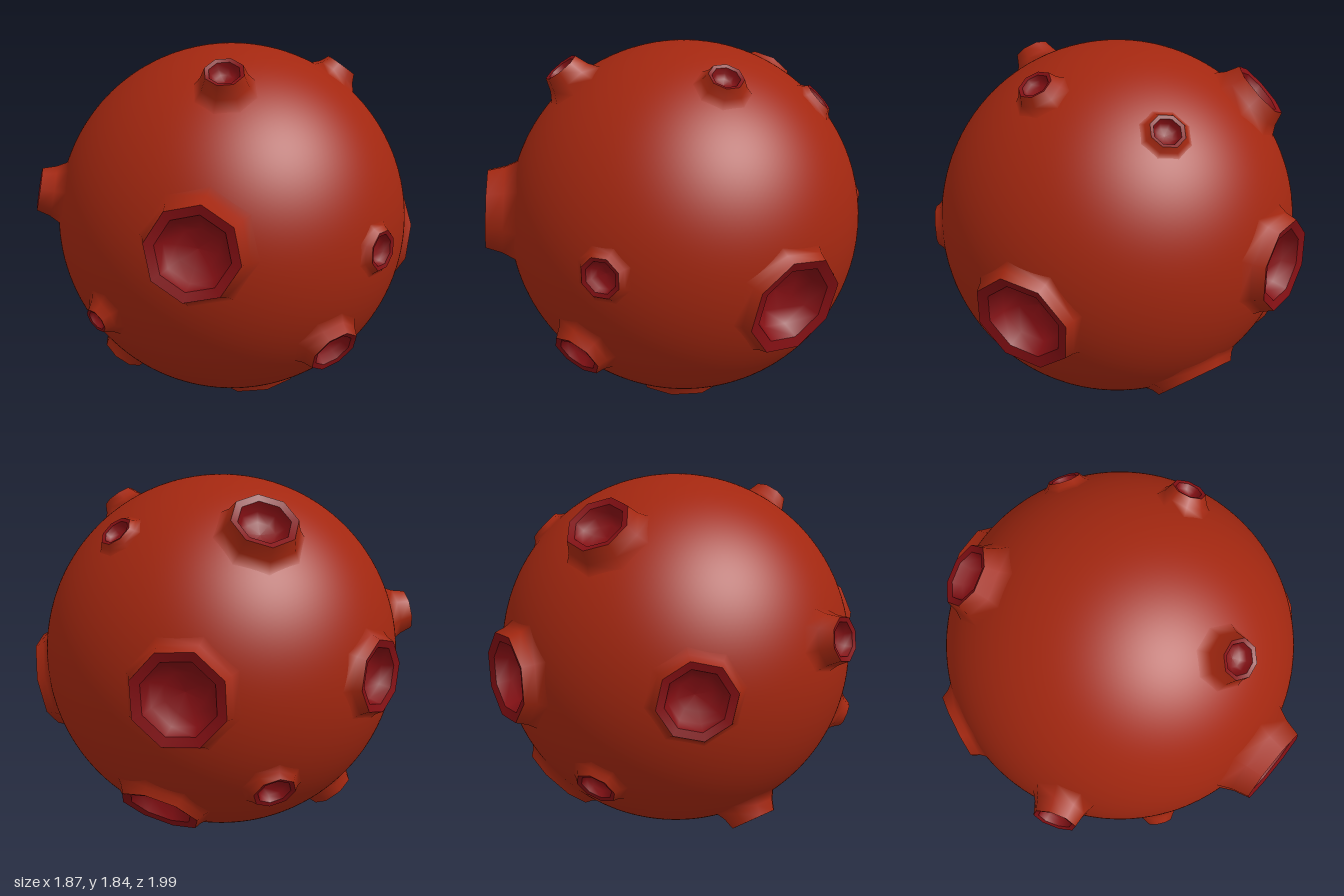
import * as THREE from 'three';

const R = 0.9;                                   // body radius
const UP = new THREE.Vector3(0, 1, 0);

// Craters: rim centre measured from the body centre, rim radius, flare of the foot
const CRATERS = [
  [0.176, 0.10, 0.985, 0.205, 0.06],
  [0.17, 0.79, 0.585, 0.09, 0.06],
  [-0.373, -0.33, 0.82, 0.063, 0.065],
  [-0.815, 0.20, 0.55, 0.105, 0.05],
  [0.85, 0.006, 0.372, 0.095, 0.045],
  [0.676, -0.455, 0.51, 0.125, 0.05],
  [-0.55, -0.77, 0.25, 0.12, 0.045],
  [0.526, 0.79, -0.166, 0.08, 0.055],
  [0.166, 0.645, -0.645, 0.08, 0.045],
  [-0.496, 0.70, -0.48, 0.15, 0.06],
  [-0.325, 0.0, -0.90, 0.215, 0.05],
  [-0.925, 0.01, -0.16, 0.175, 0.05],
  [-0.59, -0.48, -0.54, 0.10, 0.05],
  [-0.04, -0.654, -0.65, 0.20, 0.05],
  [0.79, -0.163, -0.465, 0.24, 0.04],
  [0.165, -0.905, 0.02, 0.21, 0.04],
].map(([x, y, z, rim, flare]) => {
  const p = new THREE.Vector3(x, y, z);
  return { height: p.length(), dir: p.normalize(), rim, foot: rim + flare };
});

const lathe = (pts) => new THREE.LatheGeometry(pts.map(([x, y]) => new THREE.Vector2(x, y)), 8);

// Sphere whose skin is pushed inward beneath every crater
function bodyGeometry() {
  const geo = new THREE.IcosahedronGeometry(R, 40);
  const pos = geo.attributes.position;
  const d = new THREE.Vector3();
  for (let i = 0; i < pos.count; i++) {
    d.fromBufferAttribute(pos, i).normalize();
    const sunk = CRATERS.some((c) => d.dot(c.dir) > 0 && d.angleTo(c.dir) < Math.asin((c.rim * 0.92) / R));
    d.multiplyScalar(sunk ? 0.7 : R);
    pos.setXYZ(i, d.x, d.y, d.z);
  }
  return geo;                                    // keeps the round normals
}

// Flared eight-sided wall that melts into the sphere at its foot
function wallGeometry({ rim, foot, height }) {
  const base = Math.sqrt(R * R - foot * foot) - 0.003;
  const geo = lathe([
    [foot, base],
    [rim + (foot - rim) * 0.4, base + (height - base) * 0.45],
    [rim, height],
  ]);
  const pos = geo.attributes.position;
  const n = new THREE.Vector3();
  for (let i = 0; i < pos.count; i += 3) {
    n.fromBufferAttribute(pos, i).normalize();
    geo.attributes.normal.setXYZ(i, n.x, n.y, n.z);
  }
  return geo;
}

export function createModel() {
  const skin = new THREE.MeshStandardMaterial({ color: 0xa32710 });
  skin.name = 'rust red';
  const pit = new THREE.MeshStandardMaterial({ color: 0x830f13 });
  pit.name = 'dark crimson';

  const model = new THREE.Group();
  model.name = 'crateredSphere';
  const add = (parent, name, geo, mat) => {
    const mesh = new THREE.Mesh(geo, mat);
    mesh.name = name;
    parent.add(mesh);
  };

  const ball = new THREE.Group();
  ball.name = 'ball';
  ball.position.set(0.03, 0.93, -0.04);
  model.add(ball);
  add(ball, 'body', bodyGeometry(), skin);

  for (const c of CRATERS) {
    const crater = new THREE.Group();
    crater.name = 'crater';
    crater.quaternion.setFromUnitVectors(UP, c.dir);
    const { rim, height } = c;
    const inner = rim * 0.79;
    const lip = height - rim * 0.06;
    const depth = rim * 0.55;
    add(crater, 'craterWall', wallGeometry(c), skin);
    add(crater, 'craterRim', lathe([[rim, height], [inner, lip]]), pit);
    // Rounded bowl
    add(crater, 'craterBowl', lathe([
      [inner, lip],
      [inner * 0.86, lip - depth * 0.55],
      [inner * 0.55, lip - depth * 0.9],
      [0, lip - depth],
    ]), pit);
    ball.add(crater);
  }
  return model;
}
